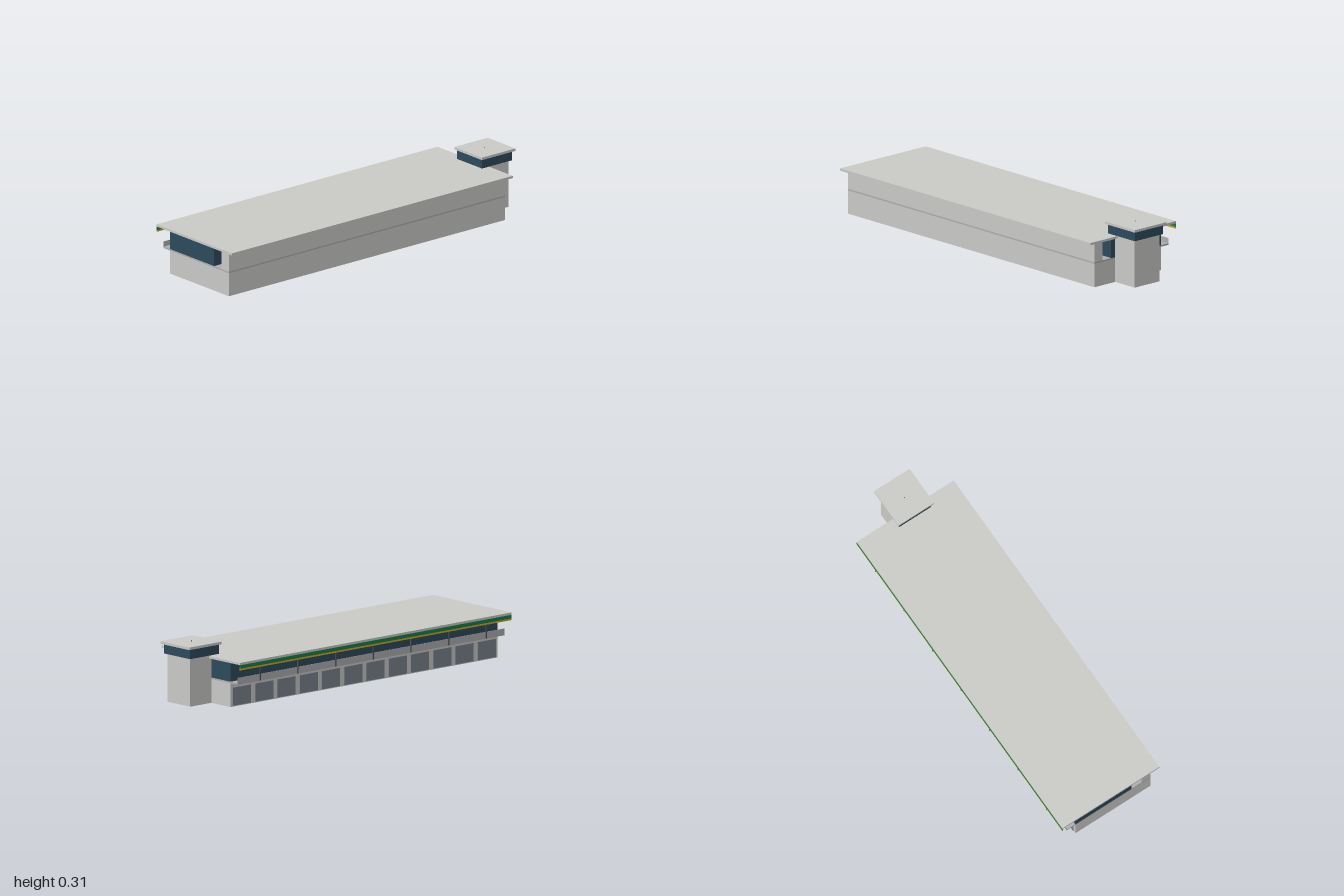
import * as THREE from 'three';

const paint = (name, color) => {
  const m = new THREE.MeshStandardMaterial({ color });
  m.name = name;
  return m;
};

export function createModel() {
  const concrete = paint('concrete', 0xc9c9c6);
  const slabGrey = paint('slab grey', 0xadadb1);
  const glass = paint('dark blue glass', 0x2c4a5c);
  const doorGrey = paint('door grey', 0x7a828e);
  const metal = paint('dark metal', 0x505256);
  const green = paint('green', 0x14804a);
  const yellow = paint('yellow', 0xd9a21b);

  const model = new THREE.Group();
  model.name = 'pitBuilding';

  // Box given by its lower and upper limits on each axis
  const box = (name, mat, [x0, x1], [y0, y1], [z0, z1], parent = model) => {
    const mesh = new THREE.Mesh(new THREE.BoxGeometry(x1 - x0, y1 - y0, z1 - z0), mat);
    mesh.position.set((x0 + x1) / 2, (y0 + y1) / 2, (z0 + z1) / 2);
    mesh.name = name;
    parent.add(mesh);
    return mesh;
  };
  const group = (name) => {
    const g = new THREE.Group();
    g.name = name;
    model.add(g);
    return g;
  };

  const length = [-0.985, 0.83];
  const roofLength = [-1, 0.845];

  // Ground floor, floor slab with balcony, upper floor and roof
  box('groundFloor', concrete, length, [0, 0.122], [-0.204, 0.252]);
  box('floorSlab', slabGrey, length, [0.122, 0.13], [-0.257, 0.252]);
  box('balconyRail', slabGrey, length, [0.13, 0.157], [-0.257, -0.255]);
  box('upperFrontWall', concrete, length, [0.13, 0.23], [0.196, 0.252]);
  box('upperGlassRooms', glass, length, [0.13, 0.23], [-0.204, 0.137]);
  box('roof', concrete, roofLength, [0.23, 0.242], [-0.292, 0.294]);

  // Striped fascia hanging below the rear roof edge
  box('fasciaGreen', green, roofLength, [0.212, 0.23], [-0.293, -0.289]);
  box('fasciaYellow', yellow, roofLength, [0.203, 0.212], [-0.293, -0.289]);

  // Garage doors along the rear wall
  const doors = group('garageDoors');
  const doorCount = 12;
  const pitch = (length[1] - length[0]) / doorCount;
  for (let i = 0; i < doorCount; i++) {
    const x = length[0] + (i + 0.5) * pitch;
    box('garageDoor', doorGrey, [x - 0.061, x + 0.061], [0.005, 0.098], [-0.208, -0.204], doors);
  }

  // Slim posts and small lamps under the rear overhang
  const posts = group('overhangPosts');
  for (let i = 0; i < 7; i++) {
    const x = -0.84 + i * 0.256;
    box('post', metal, [x - 0.003, x + 0.003], [0.13, 0.23], [-0.281, -0.276], posts);
    box('lamp', slabGrey, [x - 0.005, x + 0.005], [0.225, 0.23], [-0.272, -0.262], posts);
  }

  // Control tower at the end
  const tower = group('controlTower');
  box('towerShaft', concrete, [0.829, 0.973], [0, 0.247], [-0.061, 0.109], tower);
  box('towerWindows', glass, [0.79, 0.986], [0.247, 0.297], [-0.073, 0.12], tower);
  box('towerRoof', concrete, [0.78, 1], [0.297, 0.31], [-0.084, 0.132], tower);
  box('antenna', metal, [0.884, 0.887], [0.31, 0.315], [0.0225, 0.0255], tower);

  return model;
}
